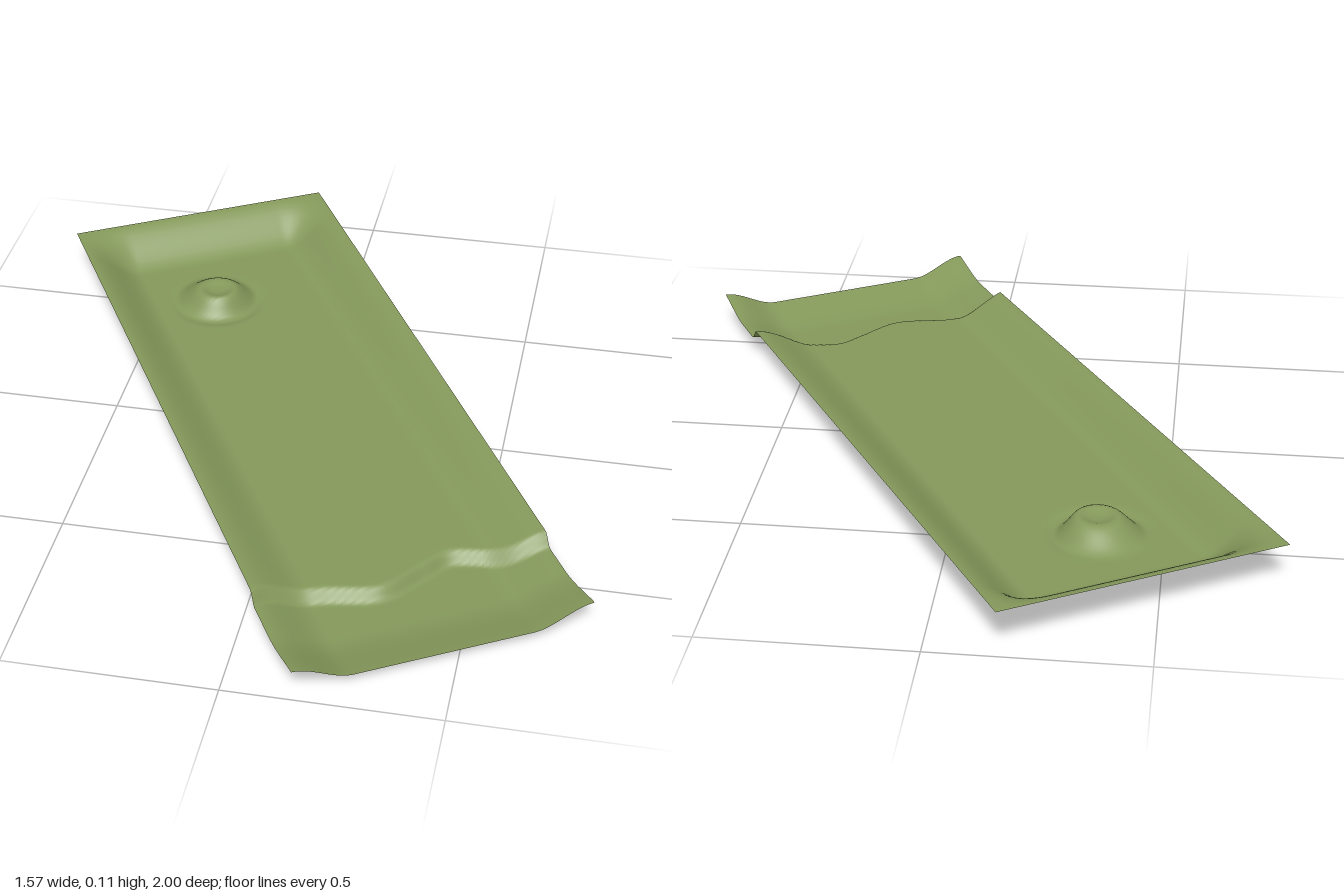
import * as THREE from 'three';

const HALF_W = 0.359, HALF_L = 0.945, WALL = 0.145;
const { smoothstep, lerp } = THREE.MathUtils;

// Wavy line where the tray steps down, as (across, along) points
const stepLine = new THREE.SplineCurve([
  [-0.36, 0.669], [-0.32, 0.654], [-0.25, 0.648], [-0.18, 0.658], [-0.055, 0.692], [0.064, 0.65],
  [0.137, 0.624], [0.205, 0.644], [0.277, 0.68], [0.36, 0.689],
].map(([s, t]) => new THREE.Vector2(s, t))).getPoints(120);

function stepAt(s) {
  let i = 1;
  while (i < stepLine.length - 1 && stepLine[i].x < s) i++;
  const a = stepLine[i - 1], b = stepLine[i];
  return lerp(a.y, b.y, THREE.MathUtils.clamp((s - a.x) / (b.x - a.x), 0, 1));
}

// Raised knob near the back: gentle behind, steep in front, dished on top
function knob(s, t) {
  const ds = s + 0.053, dt = t + 0.608;
  const r = Math.hypot(ds, dt);
  if (r > 0.2) return 0;
  const front = r > 0 ? 0.5 + 0.5 * dt / r : 0.5;
  const dome = 0.048 * (1 - smoothstep(r, lerp(0.025, 0.055, front), lerp(0.125, 0.098, front)));
  const dish = 0.012 * (1 - smoothstep(Math.hypot(ds, dt - 0.01), 0.01, 0.06));
  const moat = 0.006 * front * Math.exp(-(((r - 0.11) / 0.015) ** 2));
  return dome - dish - moat;
}

function height(s, t) {
  // sloping side and back walls
  const side = smoothstep(Math.abs(s), HALF_W - WALL, HALF_W);
  const back = 1 - smoothstep(t, -HALF_L, -HALF_L + WALL);
  const rim = lerp(0.08, 0.048, smoothstepLinear(t, -HALF_L, 0.7));
  const wall = rim * (1 - (1 - side) * (1 - back));
  // step down, then the lip lifting at the front edge
  const line = stepAt(s);
  const drop = 0.03 * smoothstep(t, line - 0.016, line + 0.016);
  const k = Math.max(0, (t - 0.79) / (HALF_L - 0.79));
  const lip = 0.03 * k * k * (2 - k);
  return 0.03 + wall - drop + lip + knob(s, t);
}

function smoothstepLinear(v, a, b) {
  return THREE.MathUtils.clamp((v - a) / (b - a), 0, 1);
}

export function createModel() {
  const group = new THREE.Group();
  group.name = 'steppedTray';
  const olive = new THREE.MeshStandardMaterial({ color: 0x84985a, side: THREE.DoubleSide });
  olive.name = 'olive green';

  // Pressed sheet, shaped by the height rule
  const sheet = new THREE.PlaneGeometry(HALF_W * 2, HALF_L * 2, 100, 260);
  sheet.rotateX(-Math.PI / 2);
  const pos = sheet.attributes.position;
  for (let i = 0; i < pos.count; i++) pos.setY(i, height(pos.getX(i), pos.getZ(i)));
  sheet.rotateY(Math.PI / 6);
  sheet.computeVertexNormals();

  const tray = new THREE.Mesh(sheet, olive);
  tray.name = 'pressedSheet';
  group.add(tray);
  return group;
}
